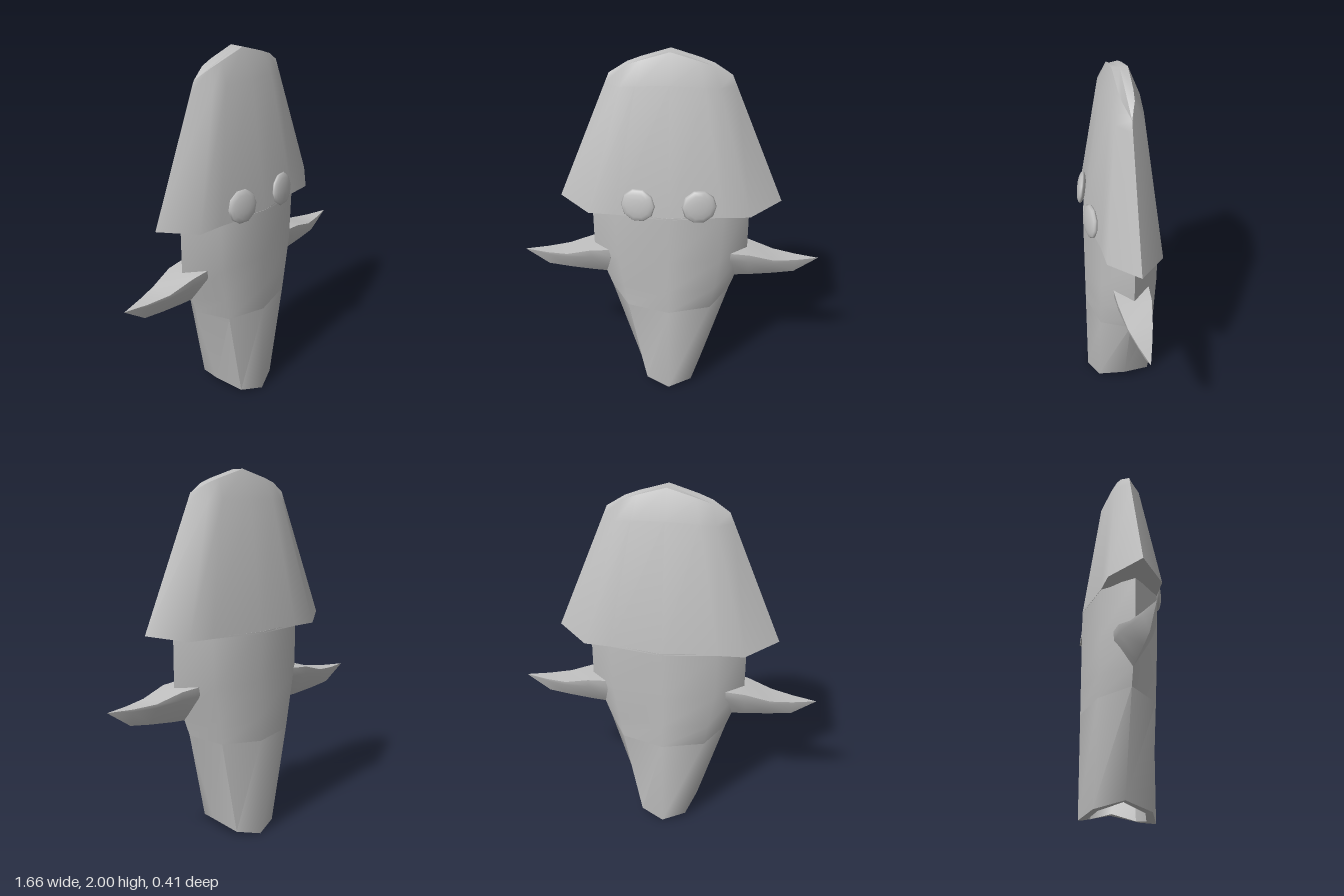
import * as THREE from 'three';
import { toCreasedNormals } from 'three/addons/utils/BufferGeometryUtils.js';

// Skin a list of equal-length rings; optional end points close the two ends.
function skin(rings, start, end, crease = 1.0) {
  const pos = [];
  const tri = (...pts) => pts.forEach((p) => pos.push(...p));
  const n = rings[0].length;
  for (let i = 0; i < n; i++) {
    const j = (i + 1) % n;
    if (start) tri(start, rings[0][i], rings[0][j]);
    for (let r = 0; r < rings.length - 1; r++) {
      const [a, b, c, d] = [rings[r][i], rings[r][j], rings[r + 1][i], rings[r + 1][j]];
      tri(c, d, b);
      tri(c, b, a);
    }
    const last = rings[rings.length - 1];
    if (end) tri(end, last[j], last[i]);
  }
  const g = new THREE.BufferGeometry();
  g.setAttribute('position', new THREE.Float32BufferAttribute(pos, 3));
  return toCreasedNormals(g, crease);
}

// Mirror a quarter section (front centre to side) into a full ring.
function ring(quarter) {
  const back = quarter.slice(0, -1).reverse().map(([x, y, z]) => [x, y, -z]);
  const half = [...quarter, ...back];
  const other = half.slice(1, -1).reverse().map(([x, y, z]) => [-x, y, z]);
  return [...half, ...other];
}

export function createModel() {
  const group = new THREE.Group();
  const grey = new THREE.MeshStandardMaterial({ color: 0xc0c0c0 });
  grey.name = 'plain grey';
  const add = (name, geometry) => {
    const mesh = new THREE.Mesh(geometry, grey);
    mesh.name = name;
    group.add(mesh);
    return mesh;
  };

  // Pointed hood with flared lower corners
  add('hood', skin([
    ring([[0, 2, 0.04], [0.15, 1.955, 0.037], [0.22, 1.93, 0.03], [0.31, 1.88, 0]]),
    ring([[0, 1.85, 0.1], [0.17, 1.84, 0.085], [0.25, 1.83, 0.07], [0.333, 1.825, 0]]),
    ring([[0, 1.15, 0.2], [0.29, 1.15, 0.152], [0.43, 1.15, 0.143], [0.6, 1.18, 0]]),
  ], [0, 2, 0], [0, 1.15, 0], 0.9));

  // Upper body
  const seam = ring([[0, 0.55, 0.2], [0.23, 0.565, 0.15], [0.335, 0.6, 0]]);
  add('upperBody', skin([
    ring([[0, 1.16, 0.2], [0.29, 1.16, 0.15], [0.43, 1.16, 0]]),
    ring([[0, 0.88, 0.2], [0.28, 0.88, 0.15], [0.43, 0.88, 0]]),
    ring([[0, 0.69, 0.2], [0.25, 0.69, 0.15], [0.37, 0.7, 0]]),
    seam,
  ], [0, 1.16, 0]));

  // Tapered lower body with an open, hollow end
  add('lowerBody', skin([
    seam,
    ring([[0, 0, 0.2], [0.13, 0.03, 0.15], [0.18, 0.07, 0]]),
    ring([[0, 0.01, 0.15], [0.1, 0.03, 0.12], [0.14, 0.07, 0]]),
    ring([[0, 0.5, 0.15], [0.18, 0.5, 0.12], [0.28, 0.5, 0]]),
  ], null, [0, 0.5, 0]));

  // Side fins: flat top, keeled underside, tapering to a point
  const finRing = ([x, top, shoulder, keel, w]) => [
    [x, top, -w], [x, top, w], [x, shoulder, w * 0.95], [x, keel, 0], [x, shoulder, -w * 0.95],
  ];
  const finGeometry = skin([
    [0.7, 0.825, 0.812, 0.73, 0.035],
    [0.58, 0.836, 0.815, 0.712, 0.065],
    [0.44, 0.88, 0.835, 0.697, 0.09],
    [0.33, 0.89, 0.84, 0.69, 0.095],
  ].map(finRing), [0.83, 0.823, 0], [0.33, 0.8, 0], 0.8);
  add('leftFin', finGeometry);
  add('rightFin', finGeometry).rotation.y = Math.PI;

  // Flattened round eyes lying on the sloping face
  for (const s of [1, -1]) {
    const ball = new THREE.SphereGeometry(0.092, 10, 8);
    ball.rotateX(Math.PI / 2);
    ball.scale(1, 1, 0.26);
    const eye = add(s > 0 ? 'leftEye' : 'rightEye', ball);
    eye.position.set(s * 0.16, 1.228, 0.183);
    eye.rotation.set(-0.12, s * 0.17, 0);
  }

  group.children.forEach((m) => { m.position.z -= 0.005; });
  return group;
}
